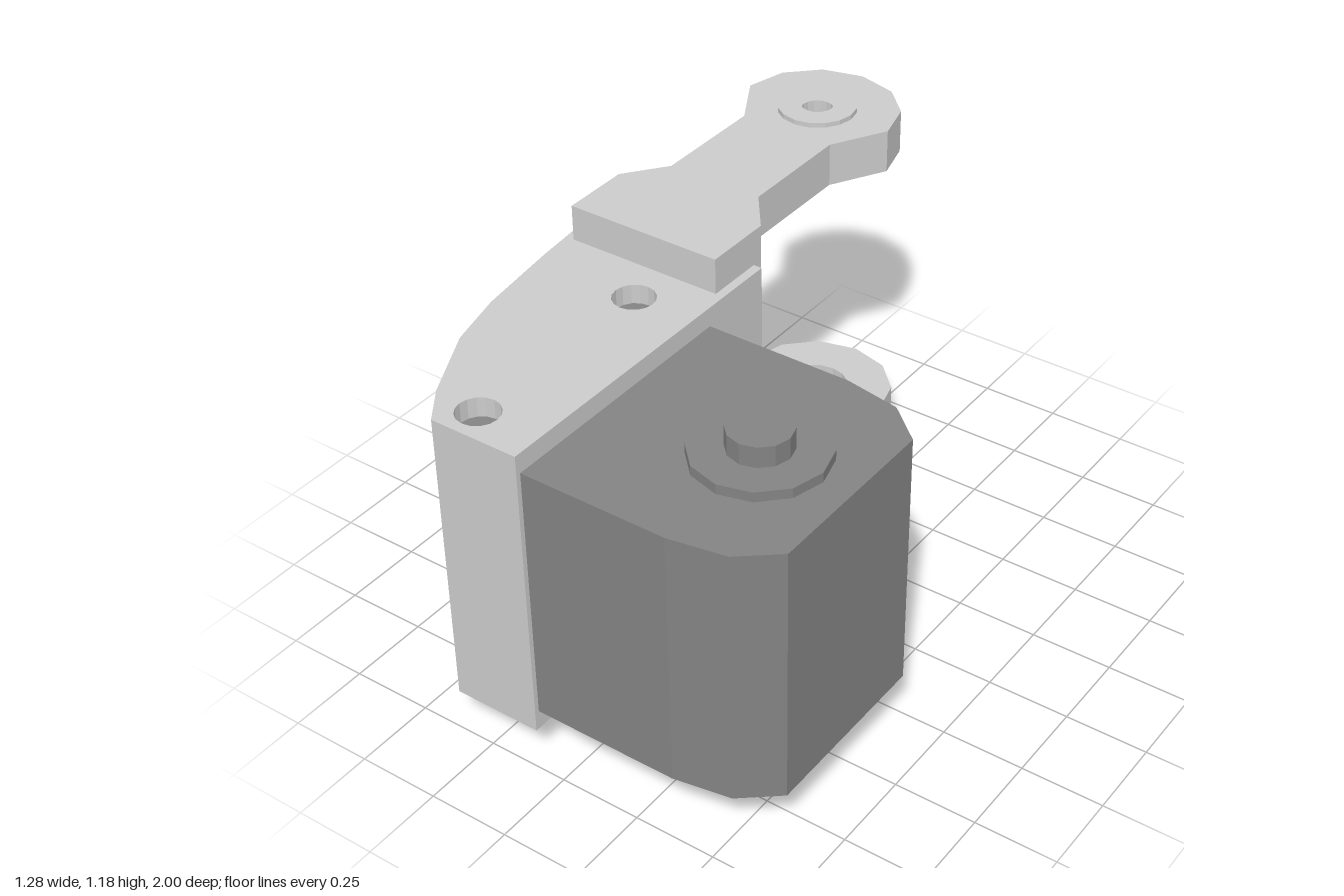
import * as THREE from 'three';

const grey = new THREE.MeshStandardMaterial({ color: 0xcccccc, flatShading: true });
const dark = new THREE.MeshStandardMaterial({ color: 0x838383, flatShading: true });

// regular polygon in plan (x, z)
function ring(cx, cz, r, sides) {
  return Array.from({ length: sides }, (_, i) => {
    const a = (i / sides) * Math.PI * 2;
    return [cx + r * Math.cos(a), cz + r * Math.sin(a)];
  });
}

// plan outline (x, z) raised from y0 to y1, with optional holes
function slab(name, outline, y0, y1, material, holes = []) {
  const toVec = ([x, z]) => new THREE.Vector2(x, -z);
  const shape = new THREE.Shape(outline.map(toVec));
  holes.forEach(h => shape.holes.push(new THREE.Path(h.map(toVec))));
  const geo = new THREE.ExtrudeGeometry(shape, { depth: y1 - y0, bevelEnabled: false });
  geo.rotateX(-Math.PI / 2);
  geo.translate(0, y0, 0);
  const mesh = new THREE.Mesh(geo, material);
  mesh.name = name;
  return mesh;
}

export function createModel() {
  const model = new THREE.Group();
  model.name = 'motorHinge';

  // side bracket with screw holes, curved on its outer side
  const bracket = [
    [-0.09, -0.07], [-0.645, -0.07], [-0.645, 0.06], [-0.63, 0.22], [-0.595, 0.49],
    [-0.55, 0.67], [-0.44, 0.89], [-0.365, 0.995], [-0.09, 0.995],
  ];
  const screwHoles = [0.25, 0.9].map(z => ring(-0.29, z, 0.063, 16));
  model.add(slab('bracket', bracket, 0.13, 1.055, grey, screwHoles));

  // motor housing, its inner end seated in the bracket; the middle layer has a socket recess
  const housing = new THREE.Group();
  housing.name = 'motorHousing';
  const front = [
    [0.36, 0.175], [0.53, 0.205], [0.64, 0.3], [0.64, 0.86],
    [0.53, 0.95], [0.36, 0.98], [-0.36, 0.98], [-0.36, 0.175],
  ];
  const notch = [[-0.07, 0.175], [-0.07, 0.28], [0.2, 0.28], [0.2, 0.175]];
  housing.add(
    slab('housingLower', front, 0.19, 0.72, dark),
    slab('housingSocketLayer', [...front, ...notch], 0.72, 0.86, dark),
    slab('housingUpper', front, 0.86, 0.995, dark),
  );
  model.add(housing);

  // open-fronted socket inside the recess
  const socket = new THREE.Group();
  socket.name = 'socket';
  [[0.065, 0.738, 0.22, 0.014], [0.065, 0.822, 0.22, 0.014],
    [-0.038, 0.78, 0.014, 0.08], [0.168, 0.78, 0.014, 0.08]].forEach(([x, y, w, h]) => {
    const wall = new THREE.Mesh(new THREE.BoxGeometry(w, h, 0.085), dark);
    wall.position.set(x, y, 0.238);
    wall.name = 'socketWall';
    socket.add(wall);
  });
  model.add(socket);

  // flange and output shaft, running through the housing
  [['flange', 0.192, 0.16, 1.025], ['shaft', 0.092, 0.05, 1.088]].forEach(([name, r, y0, y1]) =>
    model.add(slab(name, ring(0.36, 0.578, r, 12), y0, y1, dark)));

  // hinge arms: half outline mirrored about the arm axis
  const axis = -0.365, eyeZ = -0.752;
  const half = [
    [0.248, 0.11], [0.248, -0.105], [0.153, -0.228], [0.153, -0.59],
    [0.248, -0.755], [0.215, -0.88], [0.125, -0.968],
  ];
  const arm = [
    ...half.map(([w, z]) => [axis + w, z]), [axis, -1],
    ...half.map(([w, z]) => [axis - w, z]).reverse(),
  ];
  const eye = r => ring(axis, eyeZ, r, 16);
  model.add(
    slab('upperArm', arm, 1.03, 1.165, grey, [eye(0.05)]),
    slab('upperBoss', eye(0.12), 1.165, 1.18, grey, [eye(0.05)]),
    slab('lowerArm', arm, 0.018, 0.158, grey, [eye(0.11)]),
    slab('lowerBoss', eye(0.185), 0, 0.018, grey, [eye(0.11)]),
  );
  return model;
}
